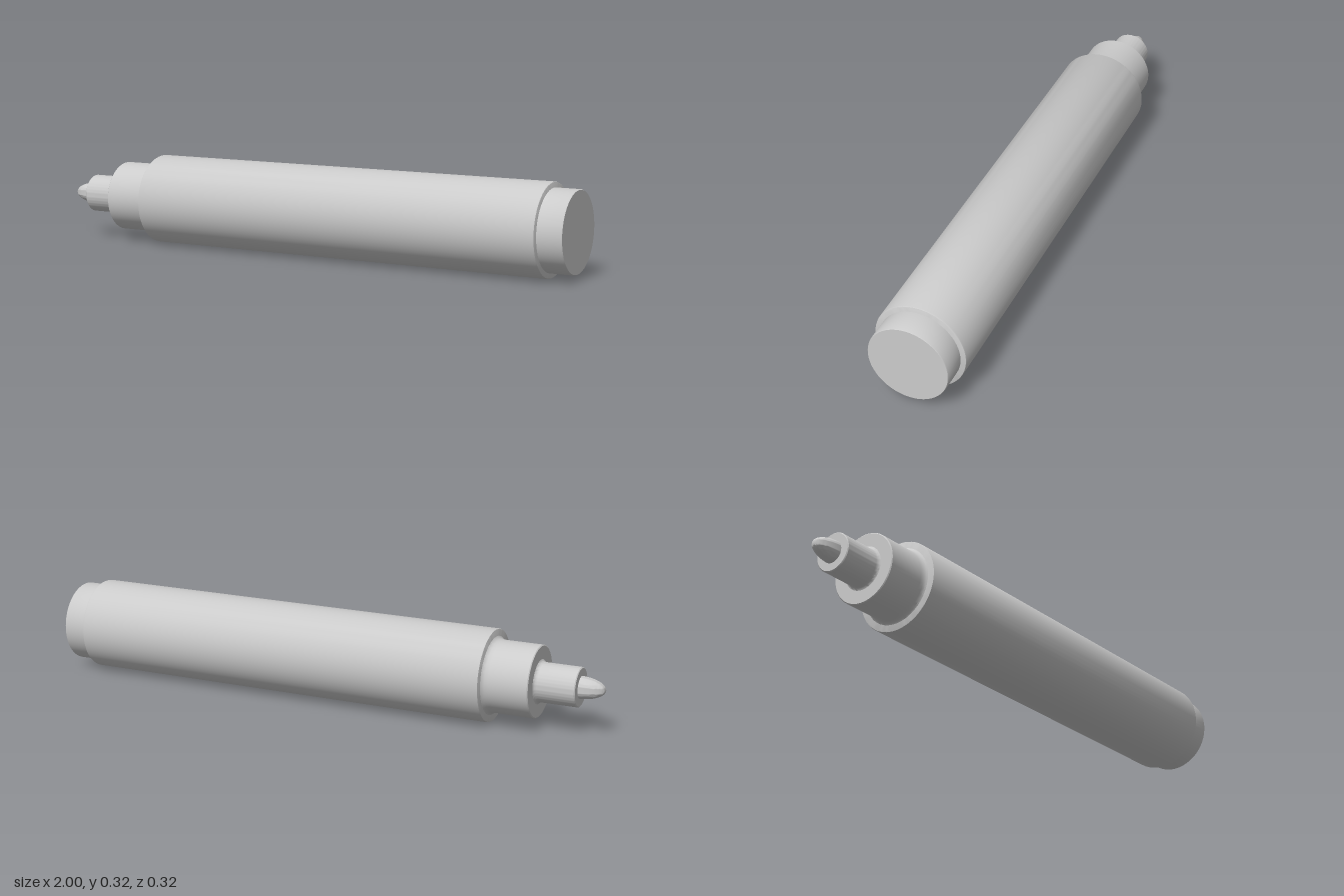
import * as THREE from 'three';
import { toCreasedNormals } from 'three/addons/utils/BufferGeometryUtils.js';

const AXIS_HEIGHT = 0.159;

export function createModel() {
  const group = new THREE.Group();
  group.name = 'markerPen';
  const material = new THREE.MeshStandardMaterial({ color: 0xcccccc });

  // Turns a list of [x along the pen, radius] into a solid of revolution about x
  function turned(name, profile) {
    const points = profile.map(([x, r]) => new THREE.Vector2(r, x));
    const geometry = new THREE.LatheGeometry(points, 72);
    geometry.rotateZ(-Math.PI / 2);
    const mesh = new THREE.Mesh(toCreasedNormals(geometry, 0.6), material);
    mesh.name = name;
    mesh.position.y = AXIS_HEIGHT;
    group.add(mesh);
  }

  // Barrel with softly broken edges
  turned('barrel', [
    [-0.615, 0], [-0.615, 0.153], [-0.6135, 0.1565], [-0.61, 0.158],
    [0.908, 0.158], [0.9115, 0.1565], [0.913, 0.153], [0.913, 0],
  ]);

  // End plug
  turned('endPlug', [
    [0.9, 0], [0.9, 0.139], [0.997, 0.139], [1, 0.137], [1, 0],
  ]);

  // Collar, flaring slightly where it meets the barrel
  turned('collar', [
    [-0.775, 0], [-0.775, 0.12], [-0.772, 0.123], [-0.637, 0.123],
    [-0.626, 0.125], [-0.618, 0.129], [-0.614, 0.135], [-0.6, 0.135], [-0.6, 0],
  ]);

  // Nib holder, flaring slightly where it meets the collar
  turned('nibHolder', [
    [-0.916, 0], [-0.916, 0.064], [-0.913, 0.067], [-0.787, 0.067],
    [-0.78, 0.069], [-0.776, 0.073], [-0.774, 0.078], [-0.76, 0.078], [-0.76, 0],
  ]);

  // Bullet nib: half an ellipse
  const nib = [];
  for (let i = 0; i <= 16; i++) {
    const a = (i / 16) * Math.PI / 2;
    nib.push([-0.91 - 0.09 * Math.cos(a), 0.038 * Math.sin(a)]);
  }
  nib.push([-0.9, 0.038], [-0.9, 0]);
  turned('nib', nib);

  return group;
}
